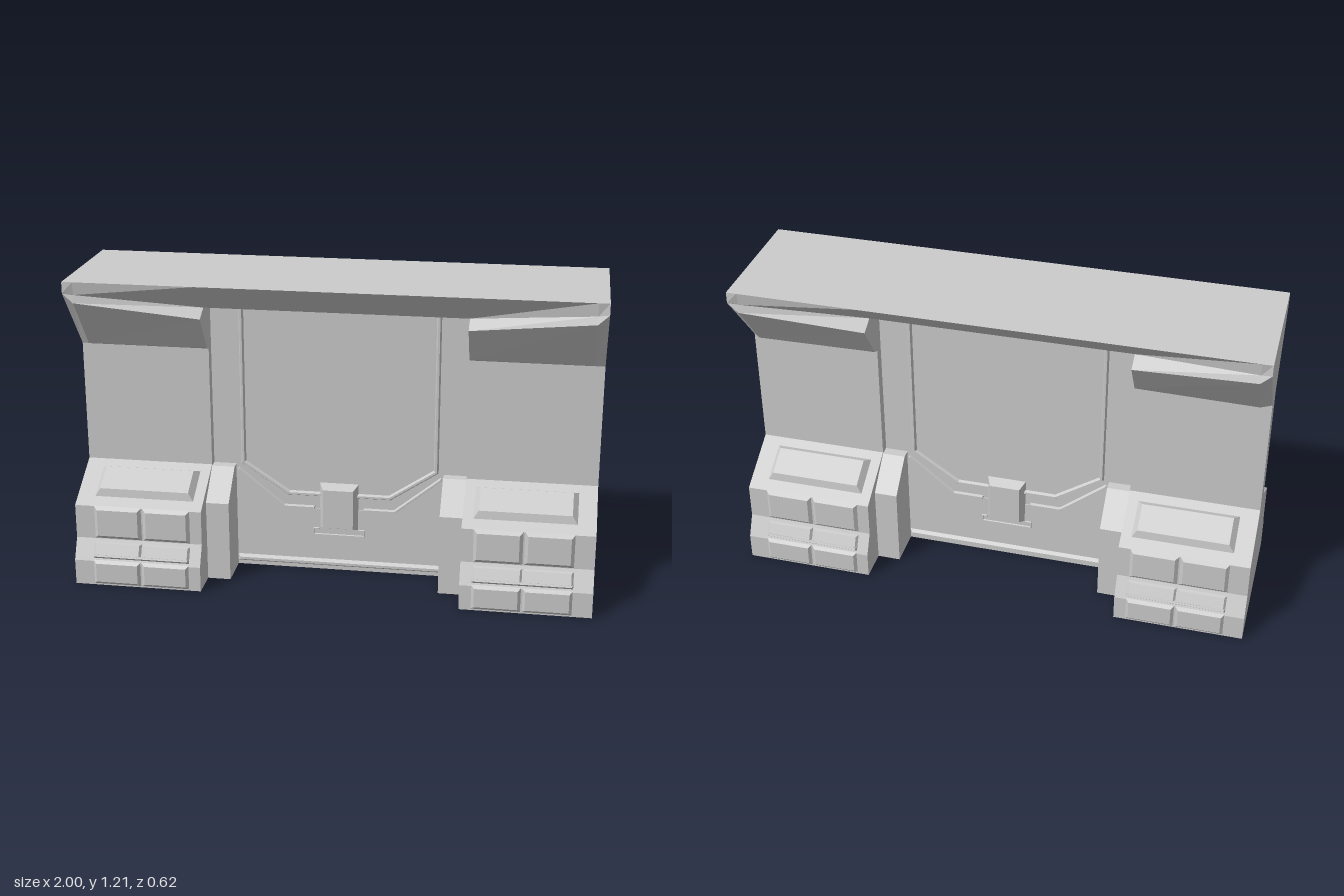
import * as THREE from 'three';

const material = new THREE.MeshStandardMaterial({ color: 0xcccccc, flatShading: true });

function mesh(name, geometry) {
  const m = new THREE.Mesh(geometry, material);
  m.name = name;
  return m;
}

// Solid through sections [x, half profile of (z, y) from bottom to top], mirrored in z.
function loft(name, sections) {
  const rings = sections.map(([x, half]) => [
    ...half,
    ...half.slice().reverse().map(([z, y]) => [-z, y]),
  ].map(([z, y]) => new THREE.Vector3(x, y, z)));
  const n = rings[0].length;
  const points = [];
  for (let s = 0; s + 1 < rings.length; s++) {
    const a = rings[s], b = rings[s + 1];
    for (let i = 0; i < n; i++) {
      const j = (i + 1) % n;
      points.push(a[i], b[i], b[j], a[i], b[j], a[j]);
    }
  }
  const cap = (ring, flip) => {
    const outline = ring.map((p) => new THREE.Vector2(p.z, p.y));
    for (const [i, j, k] of THREE.ShapeUtils.triangulateShape(outline, [])) {
      points.push(ring[i], ring[flip ? k : j], ring[flip ? j : k]);
    }
  };
  cap(rings[0], false);
  cap(rings[rings.length - 1], true);
  const g = new THREE.BufferGeometry().setFromPoints(points);
  g.computeVertexNormals();
  return mesh(name, g);
}

const prism = (name, x0, x1, half) => loft(name, [[x0, half], [x1, half]]);

// Box resting on z = 0 whose front face is drawn in by a bevel.
function pad(name, w, h, d, bevel) {
  const g = new THREE.BoxGeometry(w, h, d).translate(0, 0, d / 2);
  const p = g.attributes.position;
  for (let i = 0; i < p.count; i++) {
    if (p.getZ(i) > d / 2) {
      p.setX(i, p.getX(i) - Math.sign(p.getX(i)) * bevel);
      p.setY(i, p.getY(i) - Math.sign(p.getY(i)) * bevel);
    }
  }
  g.computeVertexNormals();
  return mesh(name, g);
}

function place(parent, m, x, y, z, tilt = 0) {
  m.position.set(x, y, z);
  m.rotation.x = -tilt;
  parent.add(m);
}

// Thin raised moulding along a polyline on the centre panel.
function moulding(parent, name, path, width, z, depth) {
  for (let i = 0; i + 1 < path.length; i++) {
    const [ax, ay] = path[i], [bx, by] = path[i + 1];
    const m = pad(name, Math.hypot(bx - ax, by - ay) + width * 0.6, width, depth, width * 0.3);
    m.position.set((ax + bx) / 2, (ay + by) / 2, z);
    m.rotation.z = Math.atan2(by - ay, bx - ax);
    parent.add(m);
  }
}

// Cushions on one face of a console, centred on x = cx.
function consolePads(cx) {
  const g = new THREE.Group();
  g.name = 'consolePads';
  place(g, pad('topPad', 0.39, 0.15, 0.025, 0.02), cx, 0.378, 0.153, 1.042);
  for (const s of [-1, 1]) {
    const x = cx + s * 0.096;
    place(g, pad('upperPad', 0.188, 0.135, 0.012, 0.014), x, 0.249, 0.259);
    place(g, pad('slopePad', 0.188, 0.06, 0.01, 0.008), x, 0.142, 0.279, 0.464);
    place(g, pad('lowerPad', 0.188, 0.1, 0.011, 0.012), x, 0.055, 0.299);
  }
  place(g, pad('padBar', 0.38, 0.015, 0.014, 0.004), cx, 0.118, 0.291, 0.464);
  return g;
}

// One end of the wall: console, pier, post and flared bracket.
function createEnd() {
  const g = new THREE.Group();
  g.name = 'wallEnd';
  g.add(prism('console', 0.5, 1, [[0.3, 0], [0.3, 0.1], [0.26, 0.18], [0.26, 0.315], [0.055, 0.435]]));
  g.add(prism('pier', 0.5, 1, [[0.055, 0.43], [0.055, 0.92]]));
  g.add(prism('post', 0.41, 0.5, [[0.175, 0], [0.175, 0.32], [0.055, 0.43], [0.015, 0.43]]));
  g.add(loft('bracket', [
    [0.5, [[0.055, 0.91], [0.085, 0.922], [0.18, 1.06], [0.12, 1.09], [0.26, 1.205]]],
    [0.96, [[0.055, 0.91], [0.1, 0.925], [0.26, 1.125], [0.25, 1.154], [0.26, 1.205]]],
    [1, [[0.055, 0.91], [0.056, 0.912], [0.259, 1.16], [0.26, 1.162], [0.26, 1.205]]],
  ]));
  for (const [turn, cx] of [[0, 0.735], [Math.PI, -0.735]]) {
    const pads = consolePads(cx);
    pads.rotation.y = turn;
    g.add(pads);
  }
  return g;
}

// Raised detail on one face of the centre panel.
function createPanelFace() {
  const g = new THREE.Group();
  g.name = 'panelFace';
  const apron = new THREE.Shape([
    [-0.41, 0], [0.41, 0], [0.41, 0.42], [0.22, 0.26], [-0.22, 0.26], [-0.41, 0.42],
  ].map(([x, y]) => new THREE.Vector2(x, y)));
  const a = mesh('apron', new THREE.ExtrudeGeometry(apron, { depth: 0.006, bevelEnabled: false }));
  a.position.z = 0.015;
  g.add(a);
  for (const s of [-1, 1]) {
    moulding(g, 'upperMoulding', [[s * 0.38, 1.09], [s * 0.38, 0.44], [s * 0.2, 0.32], [s * 0.07, 0.32]], 0.02, 0.015, 0.012);
    moulding(g, 'lowerMoulding', [[s * 0.4, 0.41], [s * 0.22, 0.263], [s * 0.1, 0.263]], 0.014, 0.015, 0.012);
    moulding(g, 'latchFrame', [[s * 0.1, 0.15], [s * 0.1, 0.175], [s * 0.08, 0.175]], 0.008, 0.02, 0.006);
  }
  moulding(g, 'latchFrame', [[-0.1, 0.15], [0.1, 0.15]], 0.008, 0.02, 0.006);
  place(g, pad('latch', 0.155, 0.195, 0.04, 0.018), 0, 0.272, 0.015);
  place(g, pad('bottomRail', 0.82, 0.03, 0.015, 0.01), 0, 0.03, 0.02);
  return g;
}

export function createModel() {
  const model = new THREE.Group();
  model.name = 'wallSection';
  model.add(prism('centrePanel', -0.5, 0.5, [[0.016, 0], [0.016, 1.1]]));
  model.add(prism('canopy', -0.5, 0.5, [[0.12, 1.09], [0.26, 1.205]]));
  for (const turn of [0, Math.PI]) {
    for (const part of [createEnd(), createPanelFace()]) {
      part.rotation.y = turn;
      model.add(part);
    }
  }
  return model;
}
